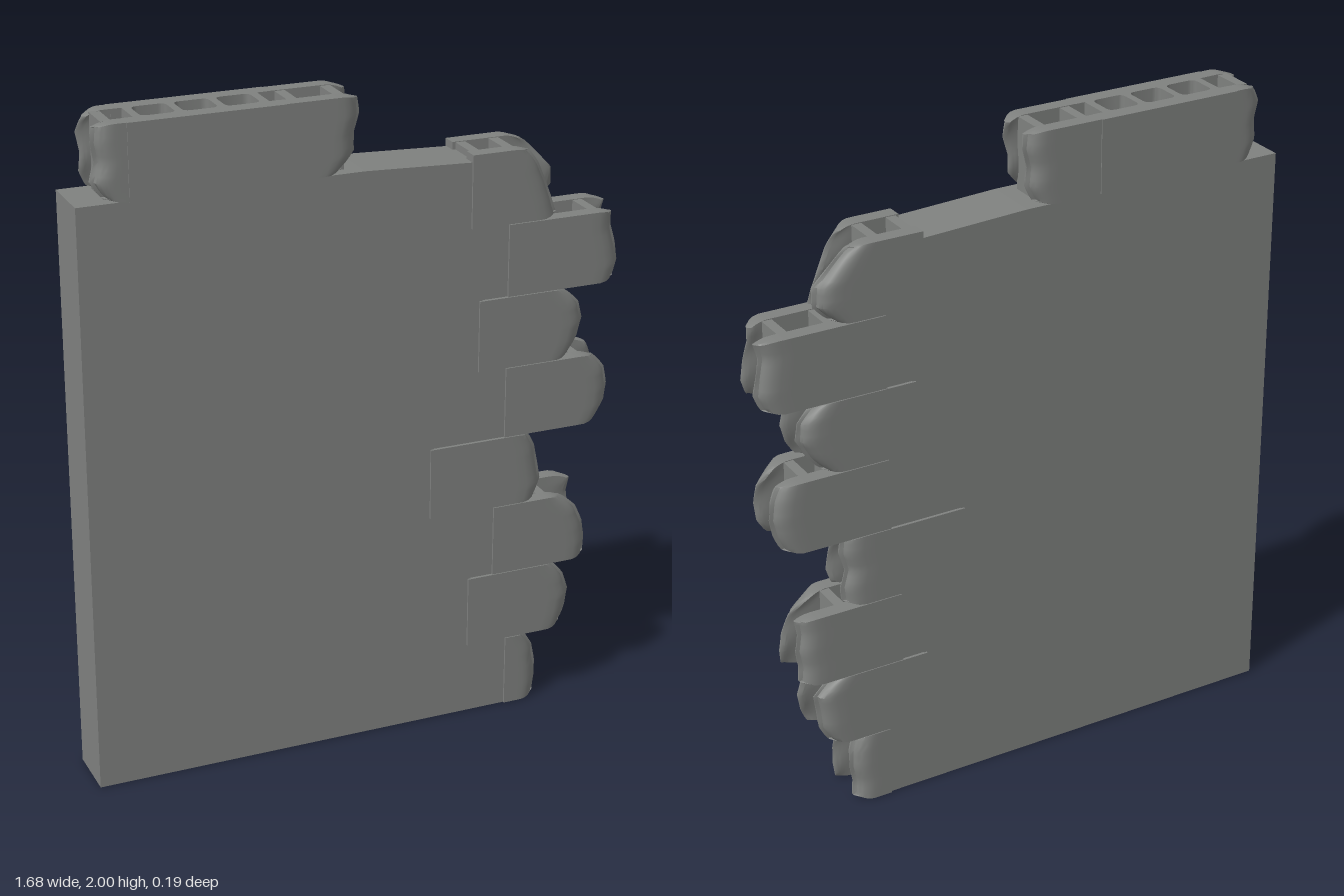
import * as THREE from 'three';
import { toCreasedNormals } from 'three/addons/utils/BufferGeometryUtils.js';

const concrete = new THREE.MeshStandardMaterial({ color: 0x7f817f });
concrete.name = 'concrete grey';

const INNER = 0.048, OUTER = 0.094;

function add(parent, geometry, name) {
  const mesh = new THREE.Mesh(geometry, concrete);
  mesh.name = name;
  parent.add(mesh);
  return mesh;
}

// Broken edge: evenly spaced x values from the bottom to the top of a course
function edgeAt(xs, v) {
  const f = v * (xs.length - 1), i = Math.min(Math.floor(f), xs.length - 2);
  return THREE.MathUtils.lerp(xs[i], xs[i + 1], f - i);
}

// Face plate of a hollow block, worn round towards its broken end
function faceShell(x0, y0, y1, xs, side) {
  const g = new THREE.BoxGeometry(1, 1, 1, 10, 12, 3);
  const p = g.attributes.position;
  for (let i = 0; i < p.count; i++) {
    const u = 1 - (0.5 - p.getX(i)) ** 2;
    const v = p.getY(i) + 0.5;
    const w = side > 0 ? p.getZ(i) + 0.5 : 0.5 - p.getZ(i);
    const end = edgeAt(xs, v);
    let x = THREE.MathUtils.lerp(x0, end, u);
    const worn = THREE.MathUtils.clamp((x - end + 0.06) / 0.06, 0, 1);
    const outer = OUTER - 0.032 * (1 - Math.sqrt(1 - worn * worn));
    const inner = INNER + 0.006 * worn * Math.sin(v * 9 + x0 * 20);
    x -= 0.012 * worn * (2 * w - 1) ** 2;
    const y = y0 + (y1 - y0) * v - 0.012 * worn * worn * (2 * v - 1) ** 5;
    p.setXYZ(i, x, y, side * THREE.MathUtils.lerp(inner, outer, w));
  }
  return toCreasedNormals(g, 0.7);
}

function web(parent, x, y0, y1, thickness = 0.03) {
  const g = new THREE.BoxGeometry(thickness, y1 - y0 - 0.004, INNER * 2 + 0.012);
  add(parent, g, 'blockWeb').position.set(x, (y0 + y1) / 2, 0);
}

// Hollow block: two face plates joined by cross webs
function brokenBlock(name, x0, y0, y1, front, back, webs) {
  const block = new THREE.Group();
  block.name = name;
  add(block, faceShell(x0, y0, y1, front, 1), 'frontShell');
  add(block, faceShell(x0, y0, y1, back, -1), 'backShell');
  webs.forEach((x) => web(block, x, y0, y1));
  return block;
}

// Courses from the ground up: start, bottom, top, front edge, back edge
const courses = [
  [0.47, 0, 0.226, [0.585, 0.592, 0.59, 0.58, 0.55], [0.585, 0.58, 0.592, 0.59, 0.575]],
  [0.34, 0.228, 0.452, [0.67, 0.69, 0.70, 0.68, 0.64], [0.66, 0.685, 0.69, 0.70, 0.65]],
  [0.42, 0.454, 0.676, [0.745, 0.75, 0.74, 0.715, 0.66], [0.745, 0.74, 0.75, 0.742, 0.748]],
  [0.21, 0.678, 0.9, [0.575, 0.59, 0.58, 0.57, 0.545], [0.595, 0.60, 0.585, 0.60, 0.595]],
  [0.45, 0.902, 1.122, [0.77, 0.80, 0.805, 0.795, 0.755], [0.78, 0.80, 0.812, 0.805, 0.785]],
  [0.36, 1.124, 1.344, [0.67, 0.70, 0.715, 0.70, 0.65], [0.65, 0.69, 0.72, 0.715, 0.67]],
  [0.45, 1.346, 1.566, [0.81, 0.825, 0.815, 0.80, 0.80], [0.82, 0.838, 0.83, 0.82, 0.832]],
  [0.33, 1.568, 1.788, [0.615, 0.60, 0.58, 0.555, 0.52], [0.61, 0.655, 0.65, 0.60, 0.55]],
];

// Plain wall slab with a toothed edge that follows the courses
function wallSlab() {
  const s = new THREE.Shape();
  s.moveTo(-0.84, 0);
  courses.forEach(([x, y0, y1], i) => {
    const last = i === courses.length - 1;
    s.lineTo(x + 0.01, y0);
    s.lineTo(x + 0.01, last ? 1.765 : courses[i + 1][1]);
  });
  s.lineTo(0, 1.78);
  s.lineTo(-0.84, 1.78);
  const g = new THREE.ExtrudeGeometry(s, { depth: 0.176, bevelEnabled: false });
  return g.translate(0, 0, -0.088);
}

function roundedHole(cx, cz, w, h, r) {
  const p = new THREE.Path(), x = cx - w / 2, y = cz - h / 2;
  p.moveTo(x + r, y);
  p.lineTo(x + w - r, y).quadraticCurveTo(x + w, y, x + w, y + r);
  p.lineTo(x + w, y + h - r).quadraticCurveTo(x + w, y + h, x + w - r, y + h);
  p.lineTo(x + r, y + h).quadraticCurveTo(x, y + h, x, y + h - r);
  p.lineTo(x, y + r).quadraticCurveTo(x, y, x + r, y);
  return p;
}

// Whole middle of the cap block, with three cells and a half cell at each end
function capBody() {
  const a = -0.69, b = -0.235, z = 0.097, n = 0.047, d = 0.032;
  const s = new THREE.Shape([
    [a, -z], [b, -z], [b, -n], [b - d, -n], [b - d, n], [b, n],
    [b, z], [a, z], [a, n], [a + d, n], [a + d, -n], [a, -n],
  ].map(([x, y]) => new THREE.Vector2(x, y)));
  for (const x of [-0.585, -0.463, -0.341]) s.holes.push(roundedHole(x, 0, 0.1, 0.094, 0.02));
  const g = new THREE.ExtrudeGeometry(s, { depth: 0.22, bevelEnabled: false, curveSegments: 4 });
  g.rotateX(-Math.PI / 2).translate(0, 1.78, 0);
  return toCreasedNormals(g, 0.6);
}

export function createModel() {
  const model = new THREE.Group();
  model.name = 'brokenBlockWall';
  add(model, wallSlab(), 'wallSlab');

  courses.forEach(([x0, y0, y1, front, back], i) => {
    const reach = Math.min(...front, ...back) - 0.06;
    const webs = [];
    for (let x = x0 + 0.025; x < reach - 0.06; x += 0.125) webs.push(x);
    webs.push(reach);
    model.add(brokenBlock('courseBlock' + (i + 1), x0, y0, y1, front, back, webs));
  });

  // Cap block on top of the wall, with a broken end on each side
  add(model, capBody(), 'capBody');
  model.add(brokenBlock('capRightEnd', -0.235, 1.78, 2,
    [-0.06, -0.02, -0.02, -0.005, -0.01], [-0.03, -0.01, -0.015, 0, -0.005], [-0.2, -0.065]));
  const leftEnd = brokenBlock('capLeftEnd', 0.69, 1.78, 2,
    [0.765, 0.785, 0.78, 0.79, 0.77], [0.76, 0.79, 0.775, 0.785, 0.78], [0.735]);
  leftEnd.rotation.y = Math.PI;
  model.add(leftEnd);
  return model;
}
